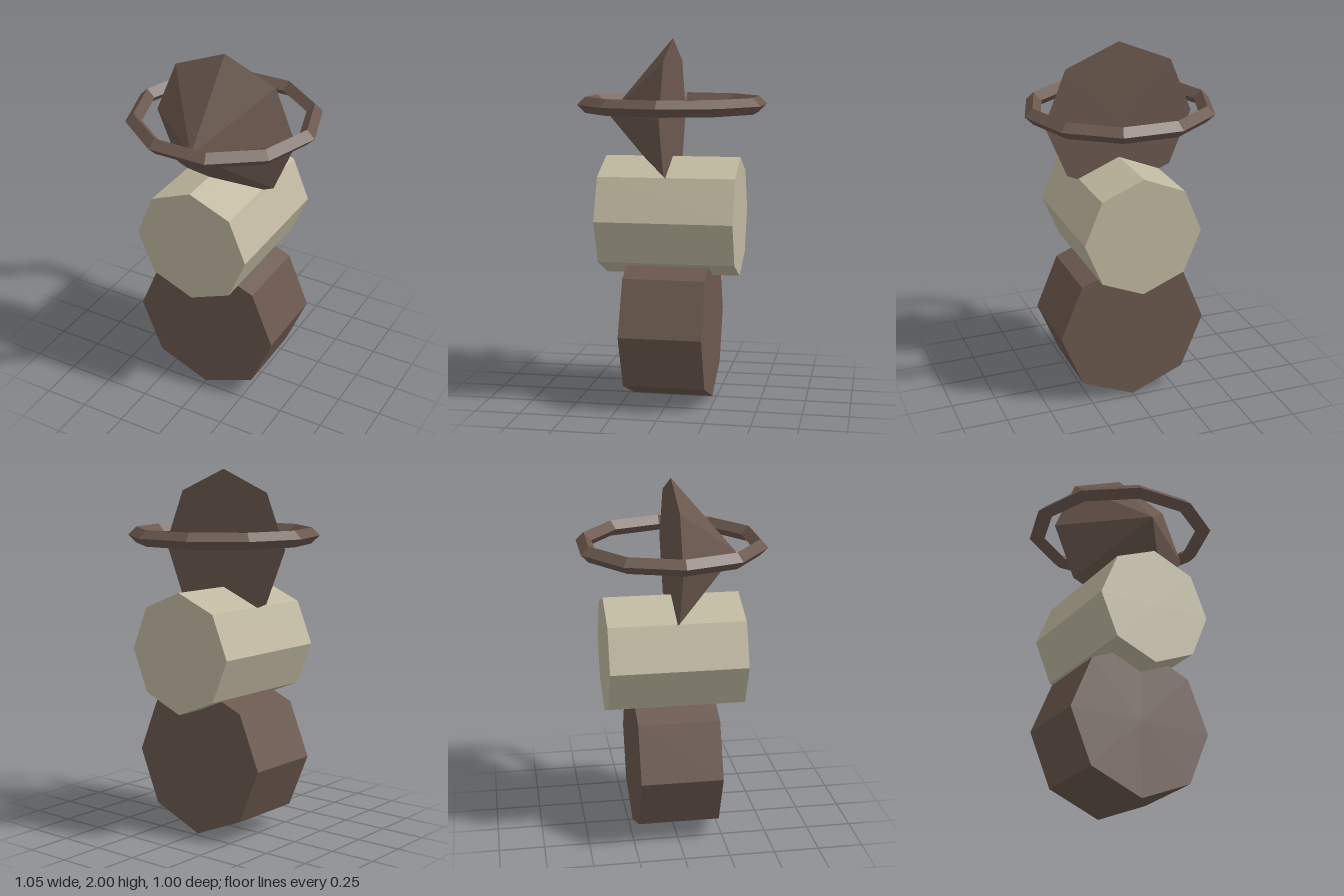
import * as THREE from 'three';

const brown = new THREE.MeshStandardMaterial({ color: 0x6b584e, flatShading: true });
const cream = new THREE.MeshStandardMaterial({ color: 0xc0b8a0, flatShading: true });

export function createModel() {
  const model = new THREE.Group();

  // Every part is turned so its axis runs along z (or, for the ring, along y)
  const add = (name, geometry, material, y, z = 0) => {
    const mesh = new THREE.Mesh(geometry.rotateX(Math.PI / 2), material);
    mesh.name = name;
    mesh.position.set(0, y, z);
    model.add(mesh);
  };

  // Two stacked octagonal drums lying on their sides
  add('lowerDrum', new THREE.CylinderGeometry(0.42, 0.42, 0.45, 8), brown, 0.42);
  add('upperDrum', new THREE.CylinderGeometry(0.33, 0.33, 0.75, 8), cream, 1.027);

  // Head cone pointing forward, with a flat back at z = 0
  add('headCone', new THREE.ConeGeometry(0.42, 0.36, 8), brown, 1.58, 0.18);

  // Horizontal ring around the head, with a diamond cross-section
  add('ring', new THREE.TorusGeometry(0.481, 0.044, 4, 10), brown, 1.642);

  return model;
}
